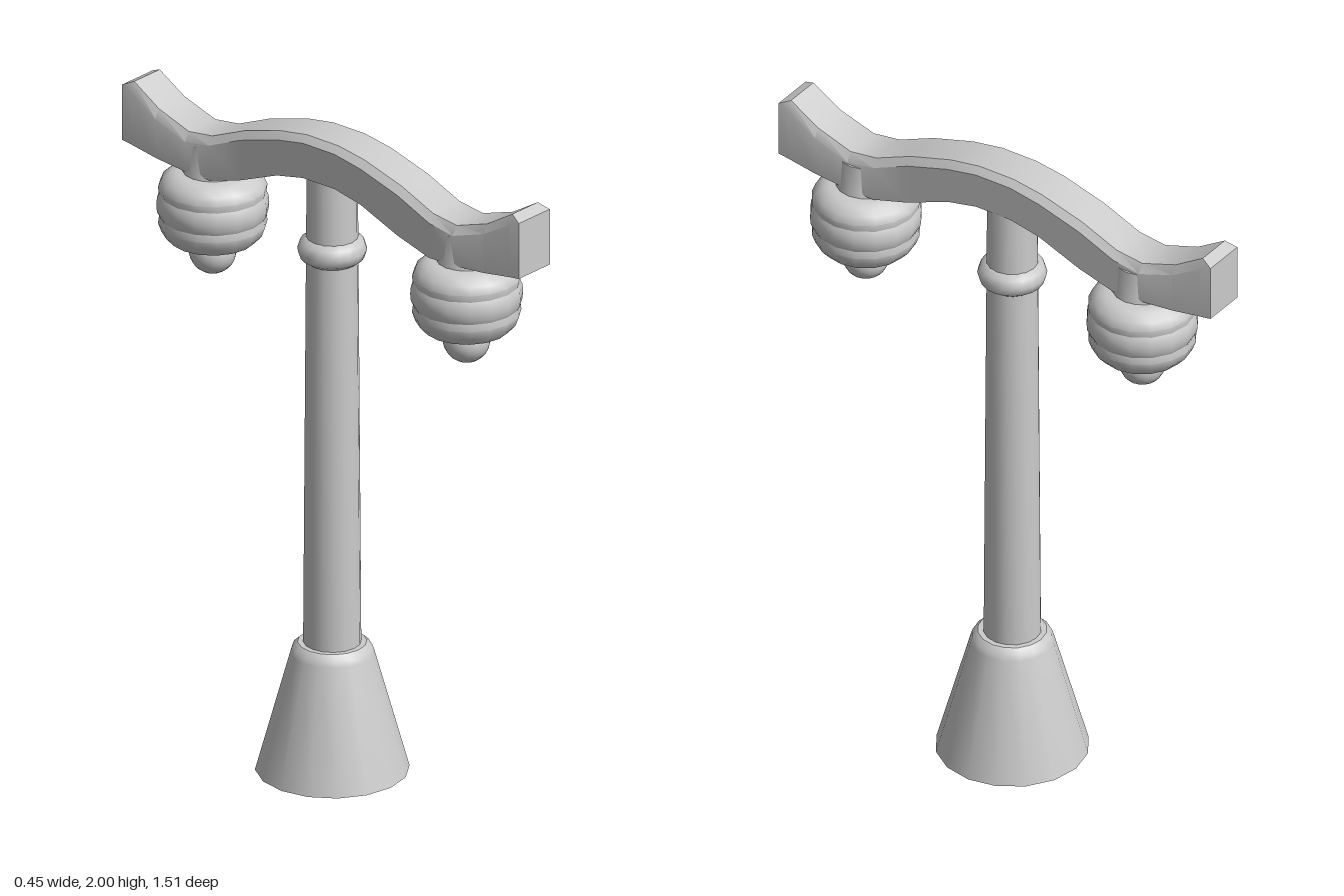
import * as THREE from 'three';
import { toCreasedNormals } from 'three/addons/utils/BufferGeometryUtils.js';

const material = new THREE.MeshStandardMaterial({ color: 0xcccccc });
const openMaterial = new THREE.MeshStandardMaterial({ color: 0xcccccc, side: THREE.DoubleSide });

function addMesh(parent, name, geometry, mat = material) {
  const mesh = new THREE.Mesh(geometry, mat);
  mesh.name = name;
  parent.add(mesh);
  return mesh;
}

// Turned part from [radius, height] pairs, listed bottom to top
function turned(profile, crease = 0.6, sides = 16) {
  const points = profile.map(([r, y]) => new THREE.Vector2(r, y));
  return toCreasedNormals(new THREE.LatheGeometry(points, sides), crease);
}

// Wavy beam: a chamfered section lofted along z
function beamGeometry() {
  // [z, top, chamfer edge, underside, half width, half width of top]
  const half = [
    [0.755, 1.957, 1.957, 1.783, 0.068, 0.068],
    [0.72, 1.973, 1.942, 1.779, 0.069, 0.056],
    [0.625, 1.915, 1.888, 1.766, 0.073, 0.057],
    [0.51, 1.877, 1.85, 1.757, 0.076, 0.058],
    [0.42, 1.889, 1.864, 1.755, 0.076, 0.058],
    [0.3, 1.94, 1.916, 1.79, 0.076, 0.058],
    [0.16, 1.981, 1.958, 1.846, 0.076, 0.058],
    [0.06, 1.997, 1.976, 1.867, 0.076, 0.058],
  ];
  const sections = [...half, ...half.map(([z, ...rest]) => [-z, ...rest]).reverse()];
  const positions = [];
  const index = [];
  for (const [z, top, edge, under, w, tw] of sections) {
    positions.push(-w, under, z, w, under, z, w, edge, z, tw, top, z, -tw, top, z, -w, edge, z);
  }
  const n = 6;
  for (let i = 0; i < sections.length - 1; i++) {
    for (let j = 0; j < n; j++) {
      const a = i * n + j, b = i * n + ((j + 1) % n);
      index.push(a, a + n, b, b, a + n, b + n);
    }
  }
  // End faces
  const last = (sections.length - 1) * n;
  for (let j = 1; j < n - 1; j++) {
    index.push(0, j, j + 1, last, last + j + 1, last + j);
  }
  const geometry = new THREE.BufferGeometry();
  geometry.setAttribute('position', new THREE.Float32BufferAttribute(positions, 3));
  geometry.setIndex(index);
  return toCreasedNormals(geometry, 0.6);
}

// Hanging lamp: neck, three-tiered shade and a bulb just below it
function createLamp(z) {
  const lamp = new THREE.Group();
  lamp.name = z > 0 ? 'frontLamp' : 'backLamp';
  lamp.position.set(-0.002, 0, z);
  addMesh(lamp, 'neck', turned([[0.088, 1.735], [0.088, 1.752], [0.083, 1.765], [0.08, 1.845], [0, 1.845]]));
  addMesh(lamp, 'lowerShade', turned([
    [0, 1.532], [0.125, 1.532], [0.148, 1.557], [0.158, 1.585], [0.155, 1.607],
  ]));
  addMesh(lamp, 'middleShade', turned([
    [0.153, 1.604], [0.161, 1.62], [0.163, 1.642], [0.161, 1.664], [0.153, 1.68],
  ]));
  addMesh(lamp, 'upperShade', turned([
    [0.155, 1.677], [0.158, 1.698], [0.148, 1.722], [0.125, 1.741], [0.105, 1.747], [0, 1.747],
  ]));
  const bulb = [];
  for (let i = 0; i <= 8; i++) {
    const a = -Math.PI / 2 + (i / 8) * 1.95;
    bulb.push([0.069 * Math.cos(a), 1.494 + 0.067 * Math.sin(a)]);
  }
  bulb[0][0] = 0;
  bulb.push([0, bulb[8][1]]);
  addMesh(lamp, 'bulb', turned(bulb));
  return lamp;
}

export function createModel() {
  const model = new THREE.Group();
  model.name = 'streetLamp';

  // Post: flared hollow foot, tapered column and collar
  const post = new THREE.Group();
  post.name = 'post';
  post.position.set(-0.002, 0, -0.017);
  model.add(post);
  addMesh(post, 'foot', turned([[0.223, 0], [0.122, 0.365], [0.116, 0.383], [0.1, 0.398], [0.07, 0.398]]), openMaterial);
  addMesh(post, 'column', turned([[0.084, 0.39], [0.074, 1.87], [0, 1.87]]));
  const collar = new THREE.TorusGeometry(0.058, 0.043, 10, 20);
  collar.rotateX(Math.PI / 2);
  addMesh(post, 'collar', collar).position.y = 1.633;

  // Beam and the lamps below it
  addMesh(model, 'beam', beamGeometry()).position.x = -0.005;
  for (const z of [0.495, -0.472]) model.add(createLamp(z));

  return model;
}
